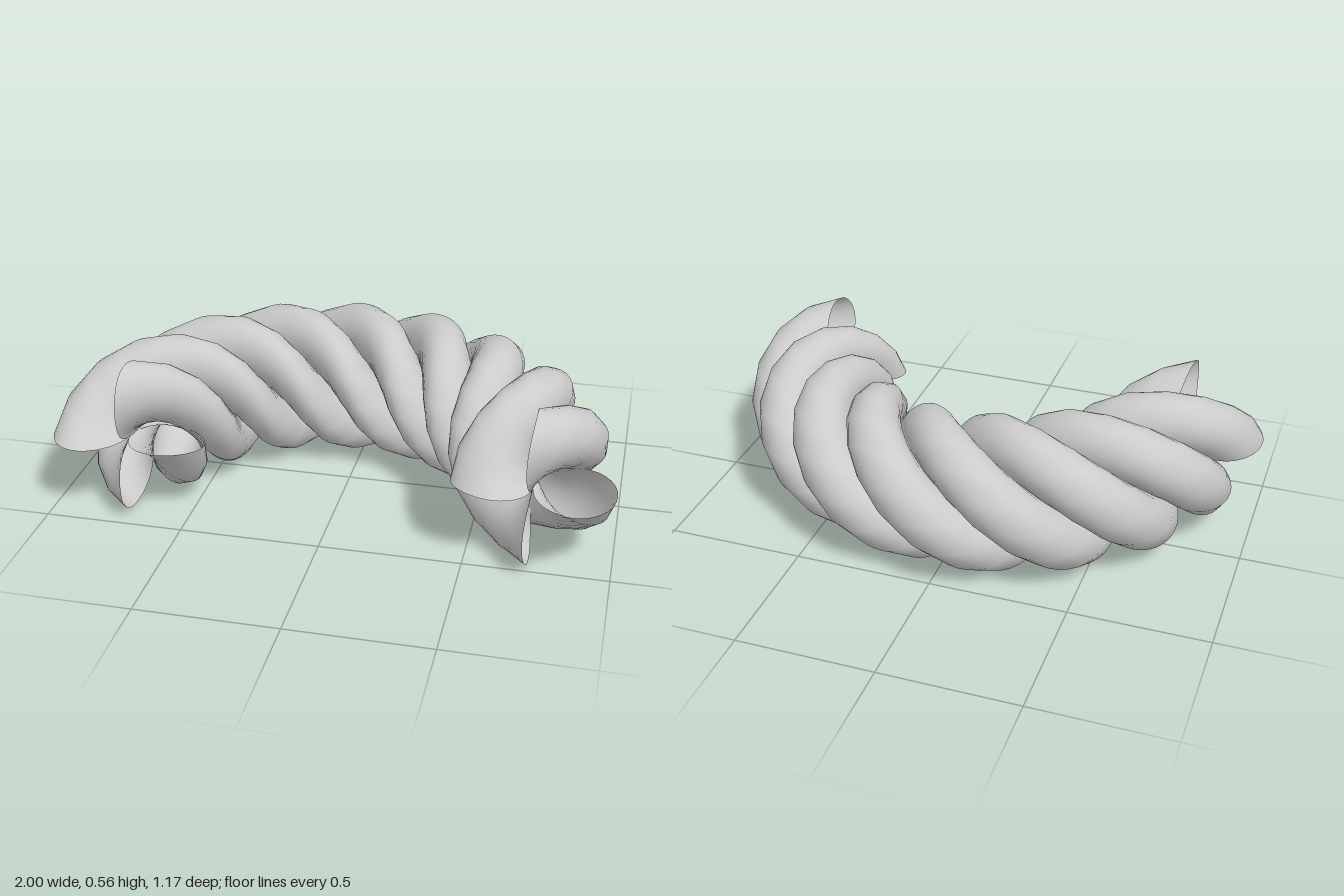
import * as THREE from 'three';

const STRANDS = 4, TURNS = 2, STEPS_PER_TURN = 16, SIDES = 32;
const R = 0.14;                              // strand radius
const BEND = 0.72;                           // radius of the arc the rope follows
const ARC = THREE.MathUtils.degToRad(175);   // length of that arc
const CENTRE_Y = 0.28, CENTRE_Z = 0.42;      // centre of the arc

// Point on a strand: t runs round its section, f along the rope (0..1)
function strandPoint(start, f, t) {
  const turn = start - f * TURNS * Math.PI * 2;
  const rho = R + R * Math.cos(t);                    // distance from rope axis
  const phi = f * ARC + (R * Math.sin(t)) / BEND;     // position along the arc
  const reach = BEND + rho * Math.cos(turn);
  return [
    reach * Math.cos(phi),
    CENTRE_Y + rho * Math.sin(turn),
    CENTRE_Z - reach * Math.sin(phi),
  ];
}

// Open-ended tube: a circle lying along the axis, screwed round it and bent
function strandGeometry(start) {
  const steps = TURNS * STEPS_PER_TURN;
  const positions = [], index = [];
  for (let i = 0; i <= steps; i++) {
    for (let j = 0; j < SIDES; j++) {
      positions.push(...strandPoint(start, i / steps, (j / SIDES) * Math.PI * 2));
      if (i === steps) continue;
      const a = i * SIDES + j, b = i * SIDES + ((j + 1) % SIDES);
      index.push(a, a + SIDES, b, b, a + SIDES, b + SIDES);
    }
  }
  const geometry = new THREE.BufferGeometry();
  geometry.setAttribute('position', new THREE.Float32BufferAttribute(positions, 3));
  geometry.setIndex(index);
  geometry.computeVertexNormals();
  return geometry;
}

export function createModel() {
  const rope = new THREE.Group();
  rope.name = 'twistedRope';
  const material = new THREE.MeshStandardMaterial({ color: 0xcccccc, side: THREE.DoubleSide });

  // Four identical strands, a quarter turn apart
  for (let k = 0; k < STRANDS; k++) {
    const strand = new THREE.Mesh(strandGeometry((k / STRANDS) * Math.PI * 2), material);
    strand.name = `strand${k + 1}`;
    rope.add(strand);
  }
  return rope;
}
